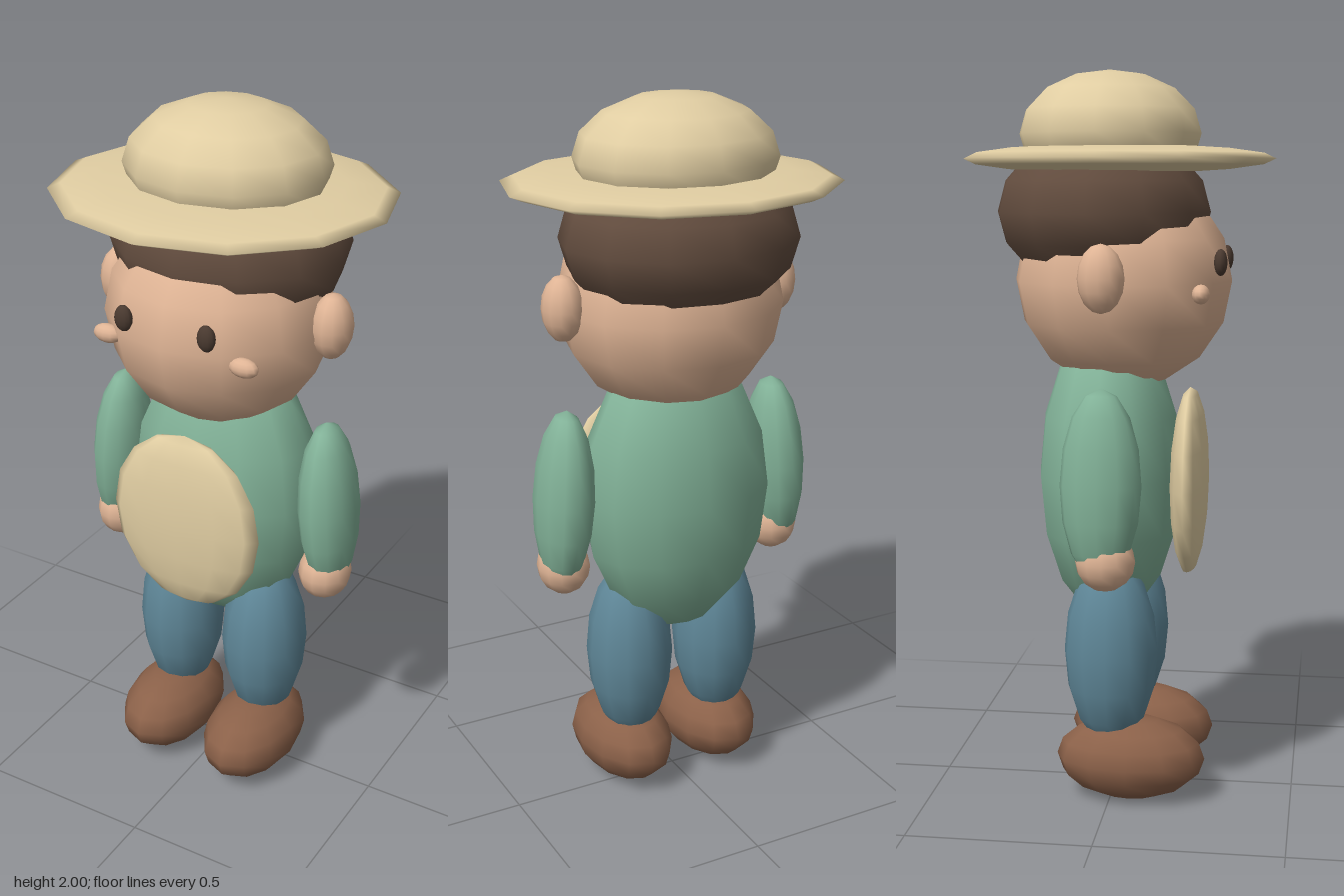
import * as THREE from 'three';

const material = (name, color) => {
  const m = new THREE.MeshStandardMaterial({ color });
  m.name = name;
  return m;
};

export function createModel() {
  const model = new THREE.Group();
  model.name = 'figure';

  const straw = material('straw', 0xe0cda2);
  const skin = material('skin', 0xdfb495);
  const green = material('green shirt', 0x82b298);
  const blue = material('blue trousers', 0x5f8798);
  const brown = material('brown leather', 0x8b6149);
  const darkBrown = material('dark brown hair', 0x624c3e);
  const eyeBrown = material('eye brown', 0x4a3a30);

  // A smooth low-poly ellipsoid with its centre and its three radii
  function blob(name, mat, center, radii, tilt = 0) {
    const mesh = new THREE.Mesh(new THREE.SphereGeometry(1, 12, 8).scale(...radii), mat);
    mesh.name = name;
    mesh.position.set(...center);
    mesh.rotation.z = tilt;
    model.add(mesh);
  }

  // Torso and belly patch
  blob('torso', green, [0, 0.9, -0.02], [0.28, 0.42, 0.2]);
  blob('bellyPatch', straw, [0, 0.877, 0.203], [0.23, 0.263, 0.052]);

  // Head and hair
  blob('head', skin, [0, 1.435, 0.015], [0.312, 0.3, 0.3]);
  blob('hair', darkBrown, [0, 1.62, -0.04], [0.33, 0.22, 0.295]);

  // Straw hat
  blob('hatBrim', straw, [0, 1.763, 0], [0.463, 0.04, 0.43]);
  blob('hatCrown', straw, [0, 1.83, -0.022], [0.28, 0.17, 0.25]);

  // Mirrored parts
  for (const [side, s] of [['left', 1], ['right', -1]]) {
    blob(side + 'Ear', skin, [s * 0.325, 1.457, 0], [0.056, 0.09, 0.062]);
    blob(side + 'Eye', eyeBrown, [s * 0.123, 1.49, 0.292], [0.026, 0.036, 0.018]);
    blob(side + 'Cheek', skin, [s * 0.205, 1.411, 0.247], [0.042, 0.026, 0.024]);
    blob(side + 'Arm', green, [s * 0.335, 0.92, 0], [0.08, 0.255, 0.108], s * 0.06);
    blob(side + 'Hand', skin, [s * 0.336, 0.72, 0.012], [0.073, 0.08, 0.08]);
    blob(side + 'Leg', blue, [s * 0.14, 0.42, 0], [0.122, 0.27, 0.13]);
    blob(side + 'Shoe', brown, [s * 0.141, 0.116, 0.055], [0.132, 0.116, 0.207]);
  }
  return model;
}
